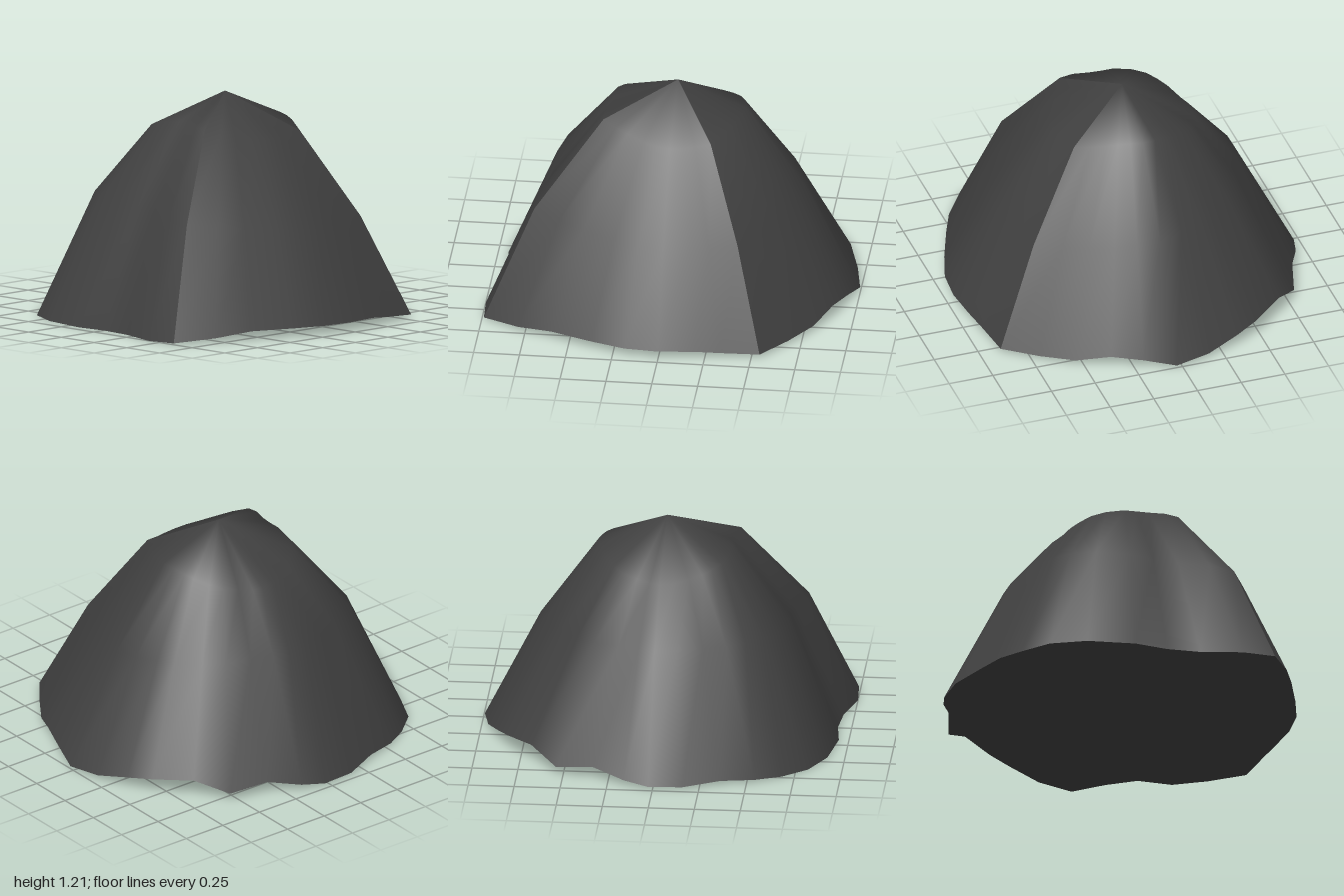
import * as THREE from 'three';

const APEX = [0, 1.21, 0.005];

// Wavy foot of the front panel, right corner to left corner (x, y, z)
const FRONT = [
  [-0.99, 0.005, 0.6], [-0.79, 0.025, 0.725], [-0.6, 0.05, 0.805], [-0.37, 0.05, 0.895],
  [-0.185, 0.05, 0.955], [0, 0.05, 0.97], [0.195, 0.05, 0.95], [0.335, 0.035, 0.92], [0.545, 0.02, 0.885],
];
// Wavy foot of the rest, left corner round the back to the right side
const REAR = [
  [0.68, 0.02, 0.71], [0.8, 0.03, 0.54], [0.885, 0.07, 0.37], [0.945, 0.05, 0.205],
  [0.995, 0.01, 0.03], [0.96, 0.025, -0.165], [0.9, 0.07, -0.35], [0.83, 0.09, -0.48],
  [0.685, 0.11, -0.66], [0.54, 0.04, -0.795], [0.335, 0.07, -0.855], [0.16, 0.03, -0.935],
  [0.025, 0.01, -0.97], [-0.16, 0.01, -0.96], [-0.36, 0.02, -0.875], [-0.54, 0.01, -0.82],
  [-0.68, 0, -0.735], [-0.815, 0, -0.62], [-0.905, 0, -0.435], [-0.945, 0, -0.175],
  [-0.925, 0, 0.01], [-0.94, 0, 0.195], [-1, 0, 0.415],
];

// Two bends between foot and apex; their height and reach vary around the dome
function bends([x, , z]) {
  const r = Math.hypot(x, z), c = x / r, s = z / r, c2 = c * c;
  const low = 0.7 + 0.007 * c2 - 0.015 * c + 0.042 * s;
  const high = 0.41 - 0.035 * c2;
  return [
    [x * low, 0.605 + 0.03 * c2 - 0.015 * c - 0.065 * s, z * low],
    [x * high, 0.975 + 0.095 * c2 - 0.01 * c + 0.015 * s, z * high],
  ];
}

function makeMesh(name, points, index, material) {
  const geometry = new THREE.BufferGeometry();
  geometry.setAttribute('position', new THREE.Float32BufferAttribute(points.flat(), 3));
  geometry.setIndex(index);
  geometry.computeVertexNormals();
  const mesh = new THREE.Mesh(geometry, material);
  mesh.name = name;
  return mesh;
}

// Smooth curved sheet rising from a foot line to the apex
function sheet(name, foot, material) {
  const points = [APEX], index = [];
  foot.forEach((p) => points.push(p, ...bends(p)));
  for (let i = 0; i < foot.length - 1; i++) {
    const a = 1 + i * 3, b = a + 3;
    for (let k = 0; k < 2; k++) {
      index.push(a + k, b + k, b + k + 1, a + k, b + k + 1, a + k + 1);
    }
    index.push(a + 2, b + 2, 0);
  }
  return makeMesh(name, points, index, material);
}

export function createModel() {
  const group = new THREE.Group();
  group.name = 'mound';
  const material = new THREE.MeshStandardMaterial({ color: 0x404040 });

  // Separate sheets keep the two ridges between panel and shell sharp
  group.add(sheet('frontPanel', FRONT, material));
  group.add(sheet('shell', [FRONT[FRONT.length - 1], ...REAR, FRONT[0]], material));

  // Closed underside
  const rim = [...FRONT, ...REAR], index = [];
  rim.forEach((_, i) => index.push(0, 1 + (i + 1) % rim.length, 1 + i));
  group.add(makeMesh('underside', [[0, 0.015, 0], ...rim], index, material));

  return group;
}
